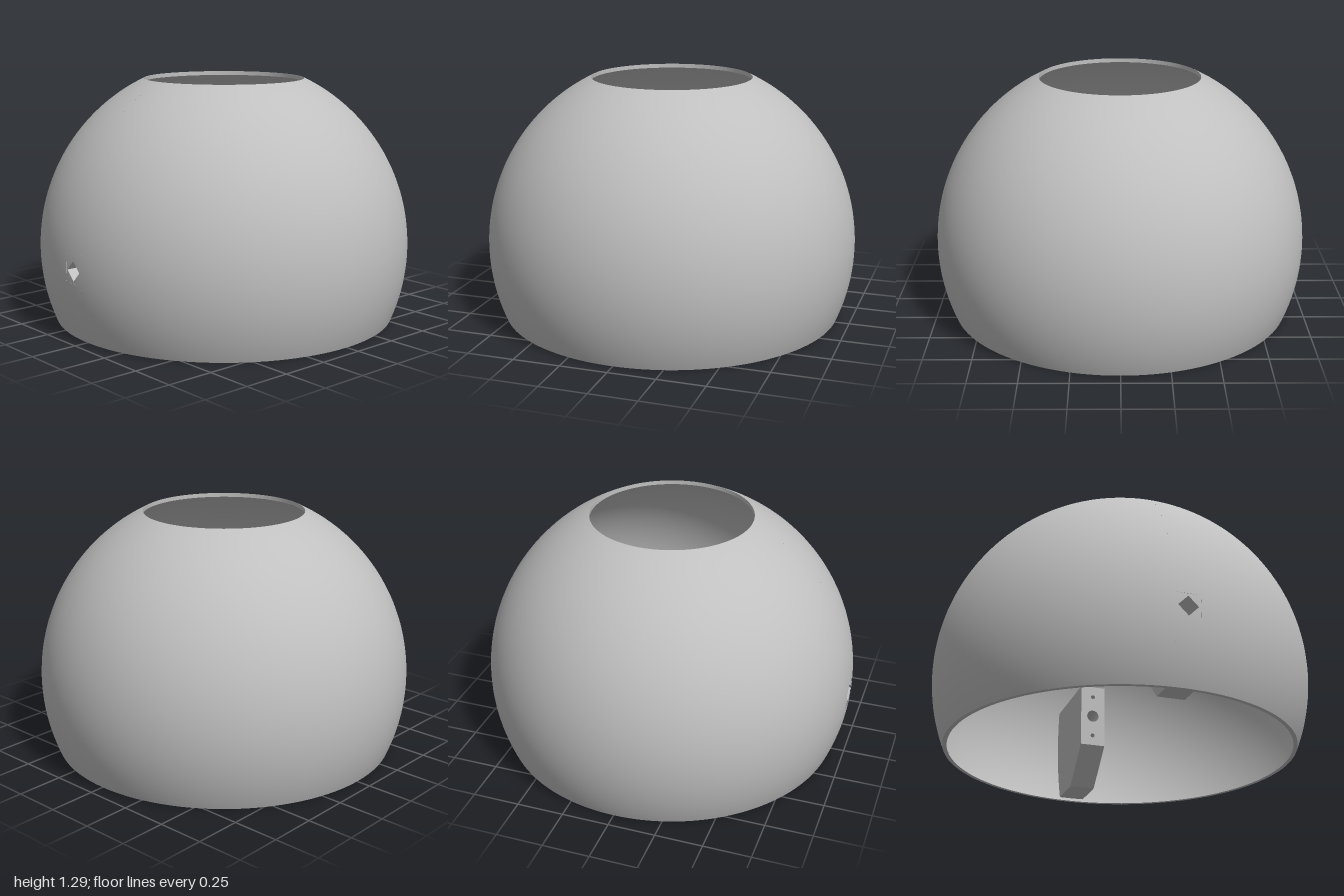
import * as THREE from 'three';

const CENTRE_Y = 0.385, R_OUT = 1, R_IN = 0.98, HOLE_R = 0.43;
const HALF_W = 0.07, SHAFT = 0.052, PATCH = 0.065;

// Turns a geometry inside out
function flip(geo) {
  const g = geo.index ? geo.toNonIndexed() : geo;
  const idx = [];
  for (let i = 0; i < g.attributes.position.count; i += 3) idx.push(i, i + 2, i + 1);
  g.setIndex(idx);
  const n = g.attributes.normal;
  for (let i = 0; i < n.count; i++) n.setXYZ(i, -n.getX(i), -n.getY(i), -n.getZ(i));
  return g;
}

// Wraps a flat (longitude, latitude) geometry onto a sphere
function wrap(geo, r) {
  const p = geo.attributes.position, n = geo.attributes.normal;
  for (let i = 0; i < p.count; i++) {
    const lon = p.getX(i), lat = p.getY(i);
    const x = Math.cos(lat) * Math.sin(lon), y = Math.sin(lat), z = Math.cos(lat) * Math.cos(lon);
    p.setXYZ(i, r * x, r * y, r * z);
    n.setXYZ(i, x, y, z);
  }
  return geo;
}

function area(x0, x1, y0, y1, sx, sy) {
  return new THREE.PlaneGeometry(x1 - x0, y1 - y0, sx, sy).translate((x0 + x1) / 2, (y0 + y1) / 2, 0);
}

function rectShape(x0, x1, y0, y1) {
  return new THREE.Shape([[x0, y0], [x1, y0], [x1, y1], [x0, y1]].map(([x, y]) => new THREE.Vector2(x, y)));
}

// sides = 4 gives a diamond standing on a corner
function holePath(r, y, sides) {
  const pts = [];
  for (let i = 0; i < sides; i++) {
    const a = -i / sides * Math.PI * 2;
    pts.push(new THREE.Vector2(r * Math.cos(a), y + r * Math.sin(a)));
  }
  return new THREE.Path(pts);
}

export function createModel() {
  const grey = new THREE.MeshStandardMaterial({ color: 0xc0c0c0 });
  grey.name = 'plain grey';
  const model = new THREE.Group();
  model.name = 'domeShade';
  const body = new THREE.Group();
  body.position.y = CENTRE_Y;
  body.name = 'body';
  model.add(body);

  const add = (parent, name, geo) => {
    const m = new THREE.Mesh(geo, grey);
    m.name = name;
    parent.add(m);
    return m;
  };

  // Outer and inner skins, each with a small square shaft hole at the front
  for (const [name, r, inside] of [['outerShell', R_OUT, false], ['innerShell', R_IN, true]]) {
    const low = Math.asin(-CENTRE_Y / r), high = Math.acos(HOLE_R / r);
    const window = rectShape(-PATCH, PATCH, -PATCH, PATCH);
    window.holes.push(holePath(SHAFT / r, 0, 4));
    const pieces = [
      area(PATCH, Math.PI * 2 - PATCH, low, high, 110, 48),
      area(-PATCH, PATCH, PATCH, high, 2, 36),
      area(-PATCH, PATCH, low, -PATCH, 2, 12),
      new THREE.ShapeGeometry(window),
    ];
    const skin = new THREE.Group();
    skin.name = name;
    body.add(skin);
    pieces.forEach((g) => {
      const w = wrap(g, r);
      add(skin, name + 'Panel', inside ? flip(w) : w);
    });
  }

  // Bottom rim and upright wall of the top opening
  const innerRim = Math.sqrt(R_IN ** 2 - CENTRE_Y ** 2), outerRim = Math.sqrt(R_OUT ** 2 - CENTRE_Y ** 2);
  add(body, 'bottomRim', new THREE.RingGeometry(innerRim, outerRim, 112).rotateX(Math.PI / 2).translate(0, -CENTRE_Y, 0));
  const yIn = Math.sqrt(R_IN ** 2 - HOLE_R ** 2), yOut = Math.sqrt(R_OUT ** 2 - HOLE_R ** 2);
  add(body, 'openingWall', flip(new THREE.CylinderGeometry(HOLE_R, HOLE_R, yOut - yIn, 112, 1, true).translate(0, (yIn + yOut) / 2, 0)));

  // Mounting block: chamfered below, curved against the shell, drilled from the inner face
  function bracket(name, face, holes) {
    const g = new THREE.Group();
    g.name = name;
    body.add(g);
    const top = 0.18, mid = -0.175, base = -0.367, r = 0.984;
    const edge = [];
    for (let i = 0; i <= 12; i++) {
      const y = base + (top - base) * i / 12;
      edge.push(new THREE.Vector2(Math.sqrt(r * r - y * y), y));
    }
    const front = [[face, top], [face, mid], [face + 0.196, base]].map(([z, y]) => new THREE.Vector2(z, y));
    const profile = new THREE.Shape([...edge, ...front]);
    const side = () => new THREE.ShapeGeometry(profile).rotateY(-Math.PI / 2);
    add(g, 'bracketSide', side().translate(-HALF_W, 0, 0));
    add(g, 'bracketSide', flip(side()).translate(HALF_W, 0, 0));

    // Top, chamfer and base strips
    const strips = [[edge[12], front[0]], [front[1], front[2]], [front[2], edge[0]]];
    for (const [a, b] of strips) {
      const s = new THREE.BufferGeometry();
      s.setAttribute('position', new THREE.Float32BufferAttribute([
        HALF_W, a.y, a.x, -HALF_W, a.y, a.x, -HALF_W, b.y, b.x, HALF_W, b.y, b.x], 3));
      s.setIndex([0, 2, 1, 0, 3, 2]);
      s.computeVertexNormals();
      add(g, 'bracketStrip', s);
    }

    // Inner face with its holes
    const plate = rectShape(-HALF_W, HALF_W, mid, top);
    for (const h of holes) {
      plate.holes.push(holePath(h.r, h.y, h.sides));
      let bore = new THREE.CylinderGeometry(h.r, h.r, h.depth, h.sides, 1, true);
      if (h.sides === 4) {
        bore = bore.toNonIndexed();
        bore.computeVertexNormals();
      }
      add(g, 'bore', flip(bore.rotateX(Math.PI / 2).translate(0, h.y, face + h.depth / 2)));
      if (!h.through) add(g, 'boreEnd', flip(new THREE.CircleGeometry(h.r, h.sides).translate(0, h.y, face + h.depth)));
    }
    add(g, 'bracketFace', flip(new THREE.ShapeGeometry(plate).translate(0, 0, face)));
    return g;
  }

  const screws = [-0.118, 0.118].map((y) => ({ r: 0.012, y, sides: 16, depth: 0.1 }));
  bracket('frontBracket', 0.553, [...screws, { r: SHAFT, y: 0, sides: 4, depth: 0.9986 - 0.553, through: true }]);
  bracket('backBracket', 0.49, [...screws, { r: 0.034, y: 0, sides: 32, depth: 0.2 }]).rotation.y = Math.PI;

  return model;
}
